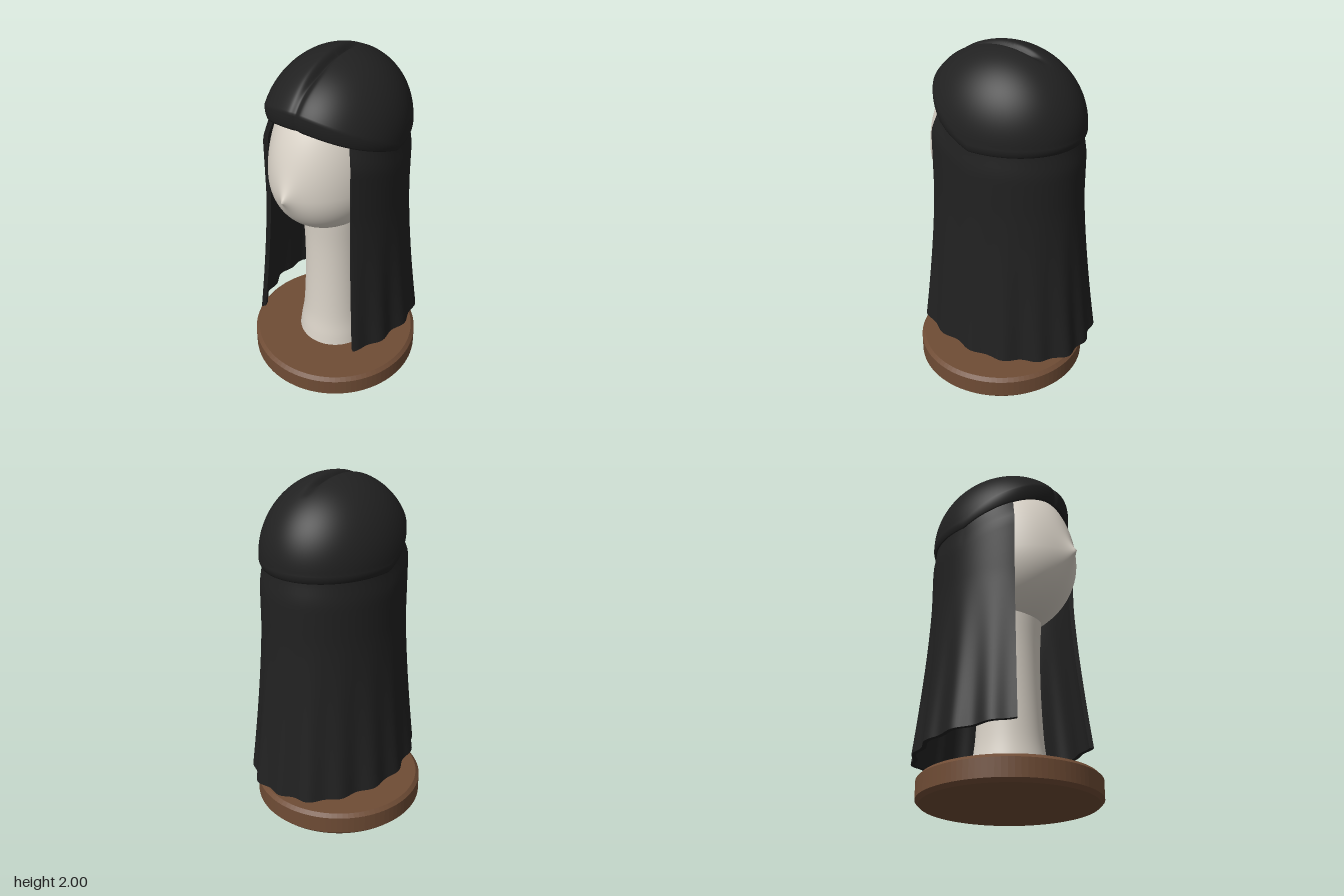
import * as THREE from 'three';
import { mergeVertices, mergeGeometries } from 'three/addons/utils/BufferGeometryUtils.js';

const HAIR = new THREE.MeshStandardMaterial({ color: 0x212121, side: THREE.DoubleSide });
HAIR.name = 'black hair';
const FOAM = new THREE.MeshStandardMaterial({ color: 0xd9d2c7 });
FOAM.name = 'pale foam';
const WOOD = new THREE.MeshStandardMaterial({ color: 0x6f4c35 });
WOOD.name = 'brown wood';

const { sin, cos, sqrt, max, exp, PI } = Math;
const smooth = THREE.MathUtils.smoothstep;
const lerp = THREE.MathUtils.lerp;

function part(name, geometry, material) {
  const mesh = new THREE.Mesh(geometry, material);
  mesh.name = name;
  return mesh;
}

// Smooth surface from fn(u, v) -> [x, y, z]; u and v run from 0 to 1
function surface(nu, nv, fn) {
  const pos = [], index = [], w = nu + 1;
  for (let j = 0; j <= nv; j++)
    for (let i = 0; i <= nu; i++) pos.push(...fn(i / nu, j / nv));
  for (let j = 0; j < nv; j++)
    for (let i = 0; i < nu; i++) {
      const a = j * w + i;
      index.push(a, a + w, a + 1, a + 1, a + w, a + w + 1);
    }
  let g = new THREE.BufferGeometry();
  g.setAttribute('position', new THREE.Float32BufferAttribute(pos, 3));
  g.setIndex(index);
  g = mergeVertices(g, 1e-5);
  g.computeVertexNormals();
  return g;
}

// Egg-shaped head with a pointed nose; the sphere's pole lies on the nose
function headGeometry() {
  let g = new THREE.SphereGeometry(1, 72, 96).rotateX(PI / 2);
  g.deleteAttribute('uv');
  g.deleteAttribute('normal');
  g = mergeVertices(g);
  const p = g.attributes.position;
  for (let i = 0; i < p.count; i++) {
    const x = p.getX(i) * 0.32;
    const dy = p.getY(i) * (p.getY(i) > 0 ? 0.56 : 0.36);
    let z = 0.04 + p.getZ(i) * 0.42;
    if (p.getZ(i) > 0) z += 0.062 * exp(-sqrt((x / 0.05) ** 2 + (dy / 0.08) ** 2));
    p.setXYZ(i, x, 1.36 + dy, z);
  }
  g.computeVertexNormals();
  return g;
}

// Shape of the hair cap by angle: 0 is the front, PI the back
const CENTRE = 1.58, HEIGHT = 0.42;
const rimY = a => 1.532 + 0.183 * max(0, cos(a));
const lipY = a => rimY(a) + 0.05 + 0.05 * max(0, cos(a));
const domeF = y => sqrt(max(0, 1 - ((y - CENTRE) / HEIGHT) ** 2));

function capPoint(u, v) {
  const t = u * 2 * PI, a = t - 0.42 * sin(2 * t);   // finer near the parting
  const rz = cos(a) > 0 ? 0.47 : 0.45;
  const lip = lipY(a);
  let f, y;
  if (v <= 0.8) {                                    // dome
    const th = (v / 0.8) * Math.acos((lip - CENTRE) / HEIGHT);
    f = sin(th);
    y = CENTRE + HEIGHT * cos(th);
  } else if (v <= 0.95) {                            // rounded lip
    const s = (v - 0.8) / 0.15;
    f = domeF(lip) * (1 + 0.02 * s - 0.045 * s * s);
    y = lerp(lip, rimY(a), s);
  } else {                                           // tucked underside
    const s = (v - 0.95) / 0.05;
    f = domeF(lip) * (0.975 - 0.1 * s);
    y = rimY(a) + 0.02 * s;
  }
  const x = 0.375 * sin(a) * f, z = rz * cos(a) * f;
  // Centre parting, fading out at the back and becoming shallow at the front
  const depth = 0.042 * exp(-((x / 0.022) ** 2)) * smooth(z, -0.27, -0.08) * (1 - 0.7 * smooth(z, 0.15, 0.36));
  const k = 1 - depth / HEIGHT;
  return [x * k, CENTRE + (y - CENTRE) * k, z * k];
}

// Long hair: an open sheet wrapped round the back, flaring and rippling downwards
const START = 0.84;
function drapePoint(u, v, inset) {
  const a = lerp(START, 2 * PI - START, u);
  const top = rimY(a) + 0.035;
  const bottom = 0.305 + 0.042 * cos(a);
  const y = lerp(bottom, top, v);
  const flare = max(0, (1.2 - y) / 0.9) ** 1.4;
  const ripple = flare * (0.011 * sin(16 * a + 0.6) + 0.006 * sin(7 * a + 1));
  const capF = domeF(lipY(a)) - 0.045;
  const f = lerp(1, capF, smooth(y, top - 0.17, top));
  const rx = (0.374 + 0.068 * flare) * f + ripple - inset;
  const rz = (0.45 + 0.078 * flare) * f + ripple - inset;
  return [rx * sin(a), y, rz * cos(a)];
}

function drapeGeometry() {
  const T = 0.025;
  return mergeGeometries([
    surface(160, 40, (u, v) => drapePoint(u, v, 0)),
    surface(160, 40, (u, v) => drapePoint(1 - u, v, T)),
    surface(160, 1, (u, v) => drapePoint(u, 0, T * (1 - v))),
    surface(160, 1, (u, v) => drapePoint(u, 1, T * v)),
    surface(1, 40, (u, v) => drapePoint(0, v, T * (1 - u))),
    surface(1, 40, (u, v) => drapePoint(1, v, T * u)),
  ]);
}

export function createModel() {
  const group = new THREE.Group();
  group.name = 'wigOnStand';

  // Round wooden base with bevelled edges
  const baseShape = new THREE.Shape().absarc(0, 0, 0.475, 0, 2 * PI);
  const base = new THREE.ExtrudeGeometry(baseShape, {
    depth: 0.1, bevelThickness: 0.02, bevelSize: 0.02, bevelSegments: 1, curveSegments: 48,
  }).rotateX(-PI / 2).translate(0, 0.02, 0.04);
  group.add(part('base', base, WOOD));

  // Neck, flared at the foot
  const neckProfile = new THREE.SplineCurve([
    [0.215, 0.14], [0.207, 0.2], [0.187, 0.34], [0.174, 0.6], [0.173, 0.85], [0.184, 1.06], [0.19, 1.2],
  ].map(([x, y]) => new THREE.Vector2(x, y))).getPoints(30);
  group.add(part('neck', new THREE.LatheGeometry(neckProfile, 64).translate(0, 0, 0.04), FOAM));

  group.add(part('head', headGeometry(), FOAM));
  group.add(part('hairCap', surface(144, 60, capPoint), HAIR));
  group.add(part('longHair', drapeGeometry(), HAIR));
  return group;
}
